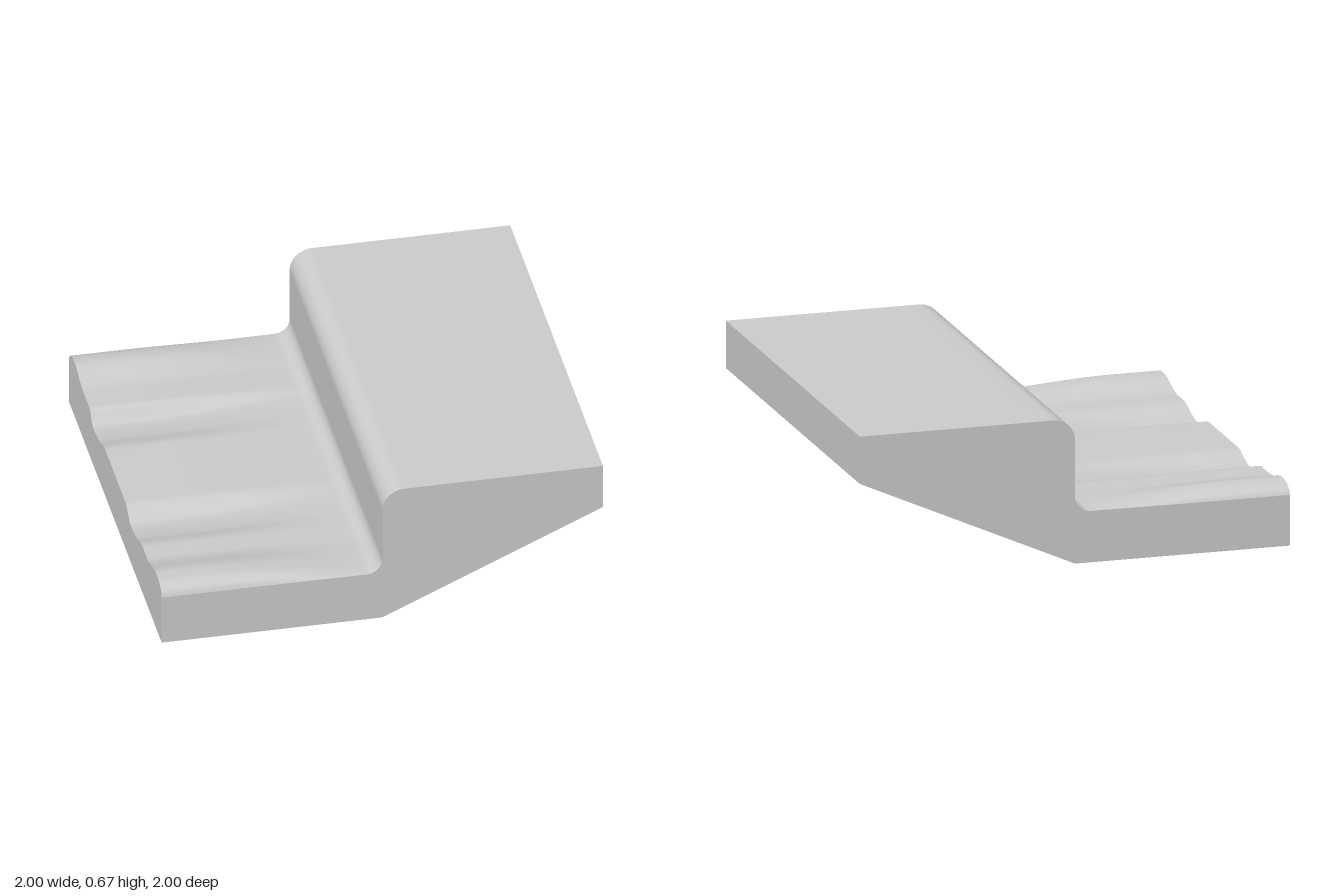
import * as THREE from 'three';

const { smoothstep } = THREE.MathUtils;
const FLOOR = 0.237, TOP = 0.668, LIP = 0.45;

// terraces across the low tread: start z, end z, change in height
const TERRACES = [
  [-0.88, -0.7, -0.035], [-0.56, -0.485, -0.055], [-0.47, -0.3, 0.018], [-0.36, -0.22, 0.032],
  [0.22, 0.33, -0.05], [0.35, 0.54, 0.025], [0.46, 0.59, 0.025], [0.68, 0.88, 0.045],
];

// height of the tread at its open end
function waveHeight(z) {
  let h = 0.285;
  for (const [a, b, d] of TERRACES) h += d * smoothstep(z, a, b);
  const width = z < 0 ? 0.13 : 0.08; // rounded outer rims
  const t = Math.max(0, 1 - (1 - Math.abs(z)) / width);
  return h - 0.06 * (1 - Math.sqrt(1 - 0.98 * t * t));
}

// upper outline at one z: rippled tread, inner fillet, riser, rounded nose, deck
function topProfile(z) {
  const pts = [], h = waveHeight(z);
  for (let i = 0; i <= 20; i++) {
    const x = -1 + 0.93 * i / 20;
    pts.push([x, FLOOR + (h - FLOOR) * (1 - smoothstep(x, -0.78, 0.06))]);
  }
  for (let i = 1; i <= 8; i++) {
    const a = i / 8 * Math.PI / 2;
    pts.push([-0.07 + 0.07 * Math.sin(a), pts[20][1] + 0.07 * (1 - Math.cos(a))]);
  }
  for (let i = 0; i <= 10; i++) {
    const a = i / 10 * Math.PI / 2;
    pts.push([0.1 * (1 - Math.cos(a)), TOP - 0.1 + 0.1 * Math.sin(a)]);
  }
  pts.push([0.14, TOP], [1, TOP]);
  return pts;
}

// z stations, closer together towards the rims
function stations() {
  const zs = [];
  for (let i = 0; i <= 160; i++) {
    const t = -1 + i / 80;
    zs.push(0.5 * t + 0.5 * Math.sin(t * Math.PI / 2));
  }
  return zs;
}

// smooth surface through rows of equal length
function loft(rows) {
  const n = rows[0].length, index = [];
  for (let j = 0; j < rows.length - 1; j++) {
    for (let i = 0; i < n - 1; i++) {
      const a = j * n + i, b = a + n;
      index.push(a, b, a + 1, a + 1, b, b + 1);
    }
  }
  const geo = new THREE.BufferGeometry();
  geo.setAttribute('position', new THREE.Float32BufferAttribute(rows.flat(2), 3));
  geo.setIndex(index);
  geo.computeVertexNormals();
  return geo;
}

// flat wall facing +z, moved one unit out from the centre
function panel(points) {
  const shape = new THREE.Shape(points.map(([x, y]) => new THREE.Vector2(x, y)));
  return new THREE.ShapeGeometry(shape).translate(0, 0, 1);
}

export function createModel() {
  const group = new THREE.Group();
  const grey = new THREE.MeshStandardMaterial({ color: 0xcccccc });
  grey.name = 'plain grey';
  const add = (name, geo) => {
    const mesh = new THREE.Mesh(geo, grey);
    mesh.name = name;
    group.add(mesh);
  };
  const zs = stations();

  // rippled tread, riser and deck
  add('topSurface', loft(zs.map((z) => topProfile(z).map(([x, y]) => [x, y, z]))));

  // side walls
  const outline = (z) => [[-1, 0], [0, 0], [1, LIP], ...topProfile(z).reverse()];
  add('frontWall', panel(outline(1)));
  add('backWall', panel(outline(-1).map(([x, y]) => [-x, y])).rotateY(Math.PI));

  // rippled end wall
  const ripple = zs.map((z) => [z, waveHeight(z)]).reverse();
  add('rippledEnd', panel([[-1, 0], [1, 0], ...ripple]).rotateY(-Math.PI / 2));

  // flat strips spanning the full depth: high end, sloping underside, base
  const strips = { highEnd: [[1, TOP], [1, LIP]], slopingUnderside: [[1, LIP], [0, 0]], base: [[0, 0], [-1, 0]] };
  for (const [name, edge] of Object.entries(strips)) {
    add(name, loft([-1, 1].map((z) => edge.map(([x, y]) => [x, y, z]))));
  }
  return group;
}
